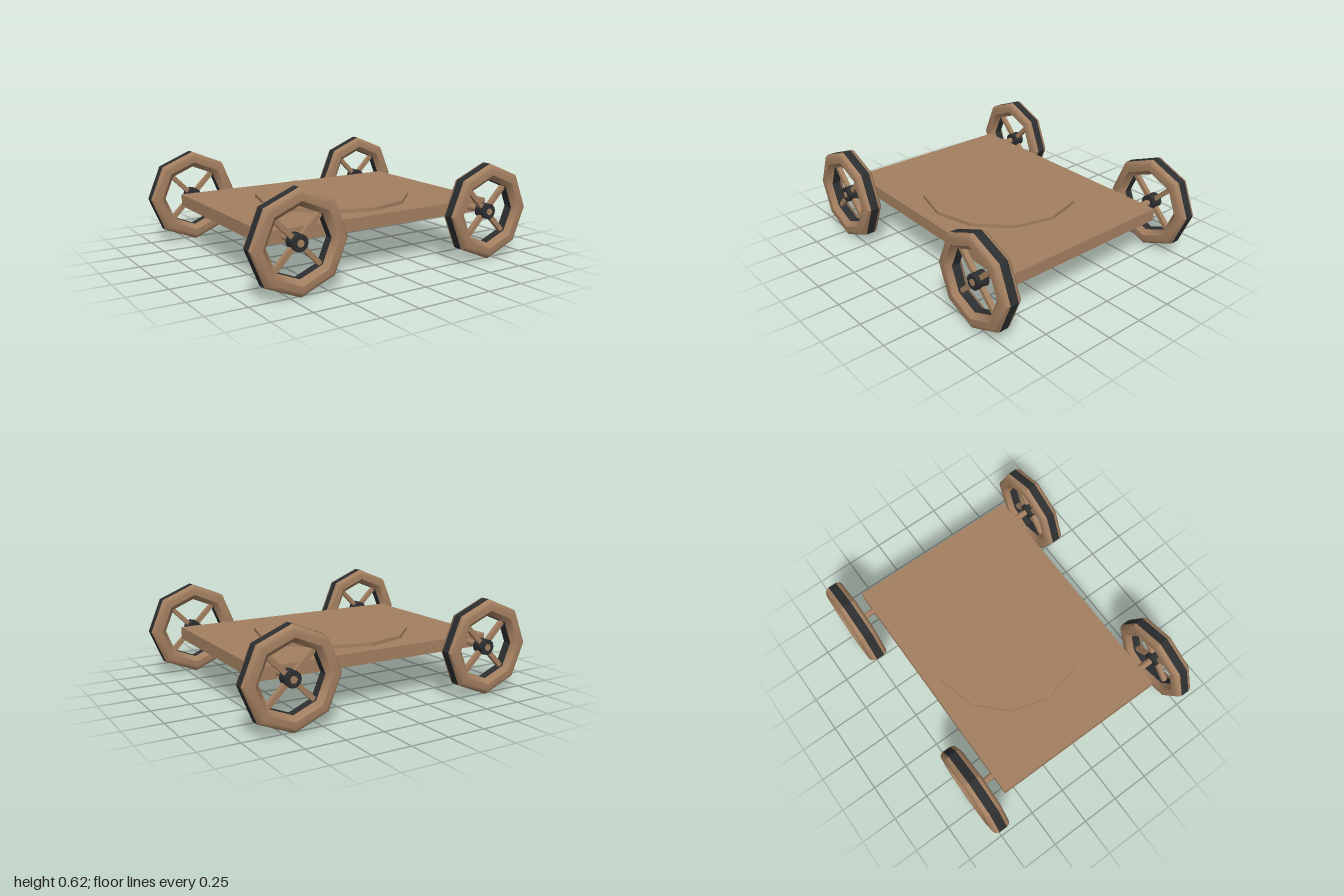
import * as THREE from 'three';
import { toCreasedNormals } from 'three/addons/utils/BufferGeometryUtils.js';

const wood = new THREE.MeshStandardMaterial({ color: 0xa37f60 });
const iron = new THREE.MeshStandardMaterial({ color: 0x2d2e30 });

function part(name, geometry, material, x = 0, y = 0, z = 0) {
  const mesh = new THREE.Mesh(geometry, material);
  mesh.name = name;
  mesh.position.set(x, y, z);
  return mesh;
}

// Eight-sided ring about the z axis from [radius, depth] points
function ring(points) {
  const g = new THREE.LatheGeometry(points.map(([r, d]) => new THREE.Vector2(r, d)), 8);
  g.rotateX(Math.PI / 2);
  return toCreasedNormals(g, 0.7);
}

// Cylinder lying along z
function rod(radius, length, sides) {
  const g = new THREE.CylinderGeometry(radius, radius, length, sides);
  g.rotateX(Math.PI / 2);
  return toCreasedNormals(g, 0.9);
}

function makeWheel() {
  const wheel = new THREE.Group();
  wheel.name = 'wheel';
  const outer = 0.308, inner = 0.205, flat = 0.028, half = 0.06;

  // Rounded wooden side, from the outer band to the inner band
  const side = [
    [outer, flat], [outer - 0.005, 0.045], [outer - 0.016, 0.056],
    [outer - 0.032, half], [0.238, half], [inner, flat],
  ];
  const back = side.map(([r, d]) => [r, -d]).reverse();
  wheel.add(part('rimFront', ring(side), wood));
  wheel.add(part('rimBack', ring(back), wood));

  // Dark bands around the outside and inside of the rim
  wheel.add(part('tyreBand', ring([[outer, -flat], [outer, flat]]), iron));
  wheel.add(part('innerBand', ring([[inner, flat], [inner, -flat]]), iron));

  // Diagonal spokes
  for (let i = 0; i < 4; i++) {
    const spoke = new THREE.BoxGeometry(0.19, 0.03, 0.03);
    spoke.translate(0.125, 0, 0);
    spoke.rotateZ(Math.PI / 4 + i * Math.PI / 2);
    wheel.add(part('spoke', spoke, wood));
  }

  wheel.add(part('hub', rod(0.05, 0.08, 12), iron));
  return wheel;
}

export function createModel() {
  const model = new THREE.Group();
  model.name = 'cart';

  // Flat deck with a twelve-sided turntable
  model.add(part('deck', new THREE.BoxGeometry(1.65, 0.08, 1.19), wood, 0, 0.31, 0));
  const disc = toCreasedNormals(new THREE.CylinderGeometry(0.51, 0.51, 0.03, 12), 0.4);
  model.add(part('turntable', disc, wood, 0, 0.357, 0));

  // Two axles, each with a wheel at both ends
  for (const x of [-0.692, 0.692]) {
    model.add(part('axle', rod(0.022, 1.56, 8), wood, x, 0.308, 0));
    for (const z of [-0.735, 0.735]) {
      const wheel = makeWheel();
      wheel.position.set(x, 0.308, z);
      model.add(wheel);
    }
  }
  return model;
}
